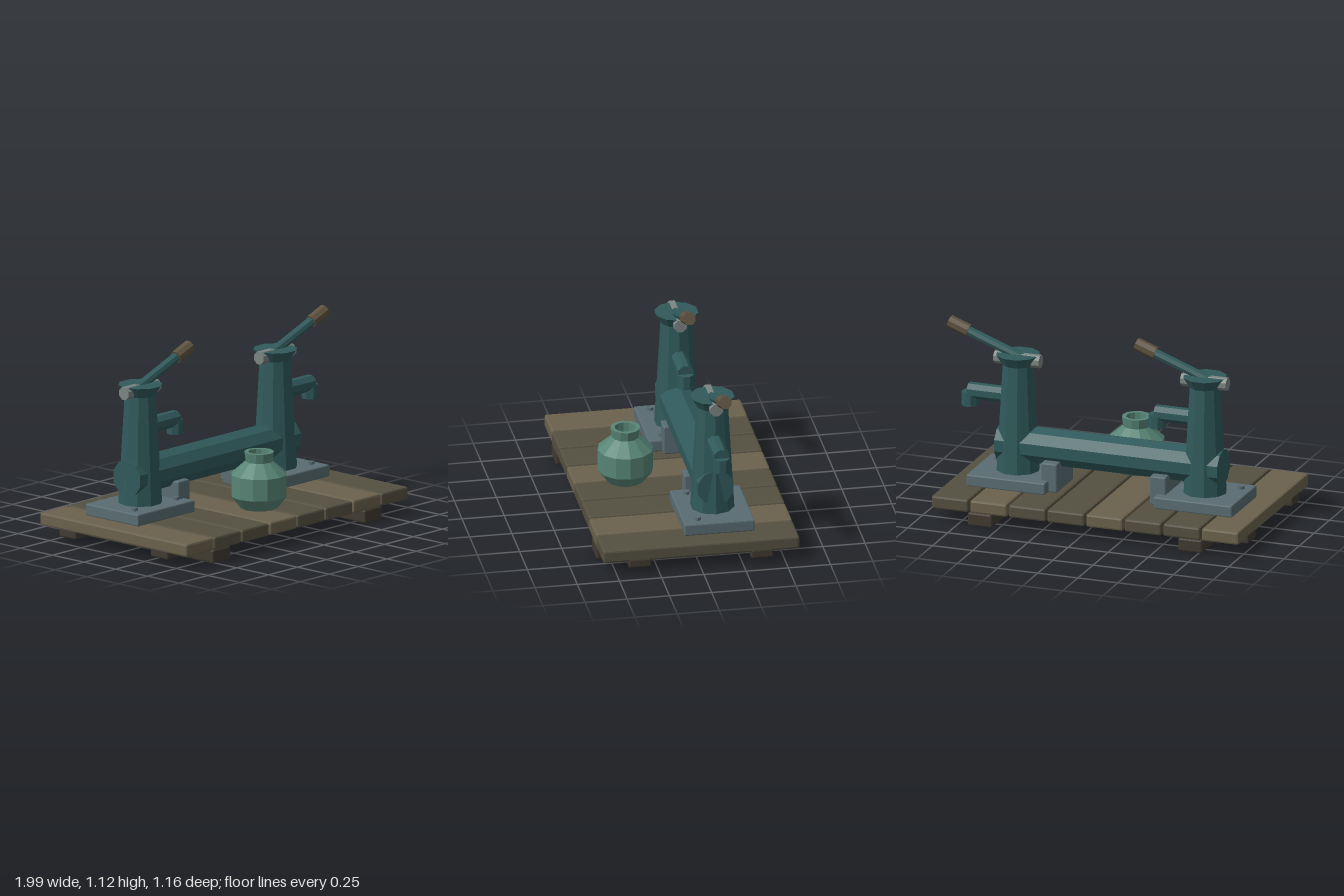
import * as THREE from 'three';
import { RoundedBoxGeometry } from 'three/addons/geometries/RoundedBoxGeometry.js';

const material = (color, side = THREE.FrontSide) =>
  new THREE.MeshStandardMaterial({ color, flatShading: true, side });

const MAT = {
  iron: material(0x30595b),
  plate: material(0x596c72),
  pin: material(0x7b8583),
  lightWood: material(0x6a614c),
  darkWood: material(0x545040),
  beam: material(0x403b31),
  grip: material(0x5e523f),
  pot: material(0x578576, THREE.DoubleSide),
};

function add(parent, name, geometry, mat, x = 0, y = 0, z = 0) {
  const mesh = new THREE.Mesh(geometry, mat);
  mesh.name = name;
  mesh.position.set(x, y, z);
  parent.add(mesh);
  return mesh;
}

// Box with chamfered edges, given by its min and max corners
function block(parent, name, mat, [x0, y0, z0], [x1, y1, z1], bevel = 0.01) {
  const geometry = new RoundedBoxGeometry(x1 - x0, y1 - y0, z1 - z0, 1, bevel);
  return add(parent, name, geometry, mat, (x0 + x1) / 2, (y0 + y1) / 2, (z0 + z1) / 2);
}

// Faceted rod between two points
function rod(parent, name, mat, from, to, radius, sides, turn = 0) {
  const a = new THREE.Vector3(...from);
  const b = new THREE.Vector3(...to);
  const geometry = new THREE.CylinderGeometry(radius, radius, a.distanceTo(b), sides).rotateY(turn);
  const mesh = add(parent, name, geometry, mat);
  mesh.position.copy(a).add(b).multiplyScalar(0.5);
  mesh.quaternion.setFromUnitVectors(new THREE.Vector3(0, 1, 0), b.sub(a).normalize());
  return mesh;
}

// Plank deck on crossed beams
function createPallet() {
  const pallet = new THREE.Group();
  pallet.name = 'pallet';
  for (let i = 0; i < 8; i++) {
    const x = -0.882 + i * 0.2405;
    block(pallet, 'plank', i % 3 === 0 ? MAT.lightWood : MAT.darkWood,
      [x - 0.115, 0.077, -0.583], [x + 0.115, 0.155, 0.58], 0.012);
  }
  for (const z of [-0.362, 0.362]) {
    block(pallet, 'rail', MAT.beam, [-1, 0.037, z - 0.067], [0.92, 0.093, z + 0.067]);
  }
  for (const x of [-0.695, 0.615]) {
    block(pallet, 'skid', MAT.beam, [x - 0.075, 0, -0.583], [x + 0.075, 0.08, 0.58]);
  }
  return pallet;
}

// One hand pump, standing around x = 0, z = 0
function createPump() {
  const pump = new THREE.Group();
  pump.name = 'pump';

  block(pump, 'basePlate', MAT.plate, [-0.245, 0.153, -0.208], [0.245, 0.225, 0.208], 0.008);
  for (const x of [-0.18, 0.18]) {
    add(pump, 'bolt', new THREE.CylinderGeometry(0.019, 0.019, 0.03, 8), MAT.plate, x, 0.228, 0.12);
  }

  // Tapered ten-sided column with a flared head
  const profile = [[0, 0.21], [0.131, 0.21], [0.093, 0.87], [0.131, 0.932], [0, 0.932]]
    .map(([r, y]) => new THREE.Vector2(r, y));
  add(pump, 'column', new THREE.LatheGeometry(profile, 10).rotateY(Math.PI / 10), MAT.iron);

  rod(pump, 'pivotPin', MAT.pin, [-0.142, 0.899, 0], [0.142, 0.899, 0], 0.04, 8, Math.PI / 8);

  // Spout with its downturned mouth
  rod(pump, 'spoutArm', MAT.iron, [0.05, 0.672, 0], [0.305, 0.672, 0], 0.049, 8, Math.PI / 8);
  rod(pump, 'spoutMouth', MAT.iron, [0.298, 0.583, 0], [0.298, 0.667, 0], 0.05, 8, Math.PI / 8);

  // Raised lever
  const along = (d) => [Math.cos(0.36) * d - 0.02, 0.913 + Math.sin(0.36) * d, 0];
  rod(pump, 'lever', MAT.iron, along(-0.03), along(0.37), 0.029, 8);
  rod(pump, 'leverGrip', MAT.grip, along(0.35), along(0.478), 0.039, 8, Math.PI / 8);
  return pump;
}

// Hollow twelve-sided pot
function createPot() {
  const profile = [
    [0, 0.155], [0.11, 0.155], [0.165, 0.227], [0.165, 0.357], [0.08, 0.433],
    [0.088, 0.49], [0.063, 0.49], [0.06, 0.38], [0, 0.38],
  ].map(([r, y]) => new THREE.Vector2(r, y));
  const pot = new THREE.Mesh(new THREE.LatheGeometry(profile, 12), MAT.pot);
  pot.name = 'pot';
  pot.position.set(-0.04, 0, 0.275);
  return pot;
}

export function createModel() {
  const model = new THREE.Group();
  model.name = 'twinHandPump';
  model.add(createPallet());

  const pumpZ = -0.133;
  for (const x of [-0.62, 0.545]) {
    const pump = createPump();
    pump.position.set(x, 0, pumpZ);
    model.add(pump);
  }

  // Pipe joining both columns, resting on two brackets
  rod(model, 'crossPipe', MAT.iron, [-0.735, 0.385, pumpZ], [0.655, 0.385, pumpZ], 0.111, 10, Math.PI / 10);
  for (const x of [-0.38, 0.298]) {
    block(model, 'pipeBracket', MAT.plate, [x - 0.05, 0.153, -0.28], [x + 0.05, 0.33, -0.005], 0.008);
  }

  model.add(createPot());
  return model;
}
